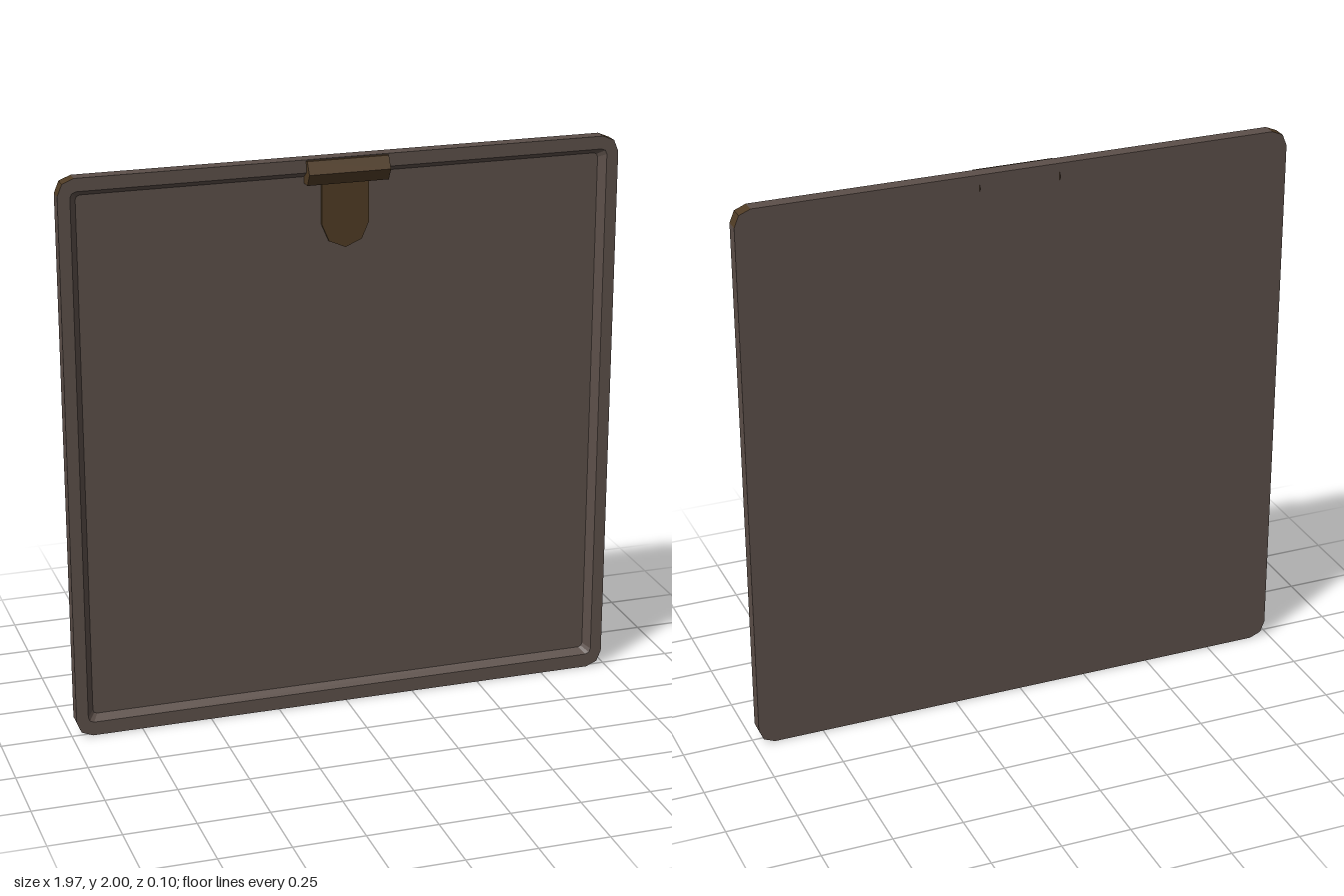
import * as THREE from 'three';

// Rounded rectangle loop, counter-clockwise from the front: three points per corner
function loop(halfW, bottom, top, radius, z) {
  const pts = [];
  const cy = (bottom + top) / 2, halfH = (top - bottom) / 2;
  for (let c = 0; c < 4; c++) {
    const sx = c === 0 || c === 3 ? 1 : -1, sy = c < 2 ? 1 : -1;
    for (let k = 0; k < 3; k++) {
      const a = (c + k / 2) * Math.PI / 2;
      pts.push(new THREE.Vector3(
        sx * (halfW - radius) + Math.cos(a) * radius,
        cy + sy * (halfH - radius) + Math.sin(a) * radius, z));
    }
  }
  return pts;
}

function facets(triangles) {
  const g = new THREE.BufferGeometry().setFromPoints(triangles);
  g.computeVertexNormals();
  return g;
}

// Strip joining two loops; keep(i) selects which segments are built
function strip(a, b, keep = () => true) {
  const t = [];
  for (let i = 0; i < a.length; i++) {
    if (!keep(i)) continue;
    const j = (i + 1) % a.length;
    t.push(a[i], a[j], b[j], a[i], b[j], b[i]);
  }
  return facets(t);
}

// Flat fill of a loop
function fill(a) {
  const t = [];
  for (let i = 1; i < a.length - 1; i++) t.push(a[0], a[i], a[i + 1]);
  return facets(t);
}

export function createModel() {
  const model = new THREE.Group();
  const panelMat = new THREE.MeshStandardMaterial({ color: 0x5c4f49, flatShading: true });
  panelMat.name = 'greyBrown';
  const brassMat = new THREE.MeshStandardMaterial({ color: 0x4f3b24, flatShading: true, side: THREE.DoubleSide });
  brassMat.name = 'darkBronze';

  const add = (name, geometry, material, parent = model) => {
    const m = new THREE.Mesh(geometry, material);
    m.name = name;
    parent.add(m);
    return m;
  };

  // Door panel: back, rim, sloped recess and floor
  const back = loop(0.985, 0, 2, 0.057, -0.036);
  const front = loop(0.985, 0, 2, 0.057, 0.014);
  const rim = loop(0.943, 0.05, 1.955, 0.02, 0.014);
  const floor = loop(0.92, 0.07, 1.936, 0.015, -0.013);
  const isCorner = i => i % 3 !== 2;
  add('panelBack', fill([...back].reverse()), panelMat);
  add('panelSides', strip(back, front, i => !isCorner(i)), panelMat);
  add('panelCorners', strip(back, front, isCorner), brassMat);
  add('frameFront', strip(front, rim), panelMat);
  add('recessSlope', strip(rim, floor), panelMat);
  add('recessFloor', fill(floor), panelMat);

  // Latch: six-sided bar, open at the rear inside the panel, with full end caps
  const latch = new THREE.Group();
  latch.name = 'latch';
  latch.position.set(0.003, 1.955, 0.002);
  model.add(latch);
  const r = 0.048, len = 0.286;
  const bar = new THREE.CylinderGeometry(r, r, len, 4, 1, true, -Math.PI * 2 / 3, Math.PI * 4 / 3);
  add('latchBar', bar.rotateZ(Math.PI / 2), brassMat, latch);
  for (const s of [-1, 1]) {
    const cap = add('latchEnd', new THREE.CircleGeometry(r, 6), brassMat, latch);
    cap.rotation.y = s * Math.PI / 2;
    cap.position.x = s * len / 2;
  }

  // Hanging tab with a faceted round end
  const tab = new THREE.Shape();
  tab.moveTo(-0.083, 0);
  tab.lineTo(-0.083, -0.19);
  tab.lineTo(-0.058, -0.248);
  tab.lineTo(0, -0.273);
  tab.lineTo(0.058, -0.248);
  tab.lineTo(0.083, -0.19);
  tab.lineTo(0.083, 0);
  tab.closePath();
  const tabGeo = new THREE.ExtrudeGeometry(tab, { depth: 0.012, bevelEnabled: false });
  add('latchTab', tabGeo, brassMat, latch).position.z = -0.017;

  return model;
}
